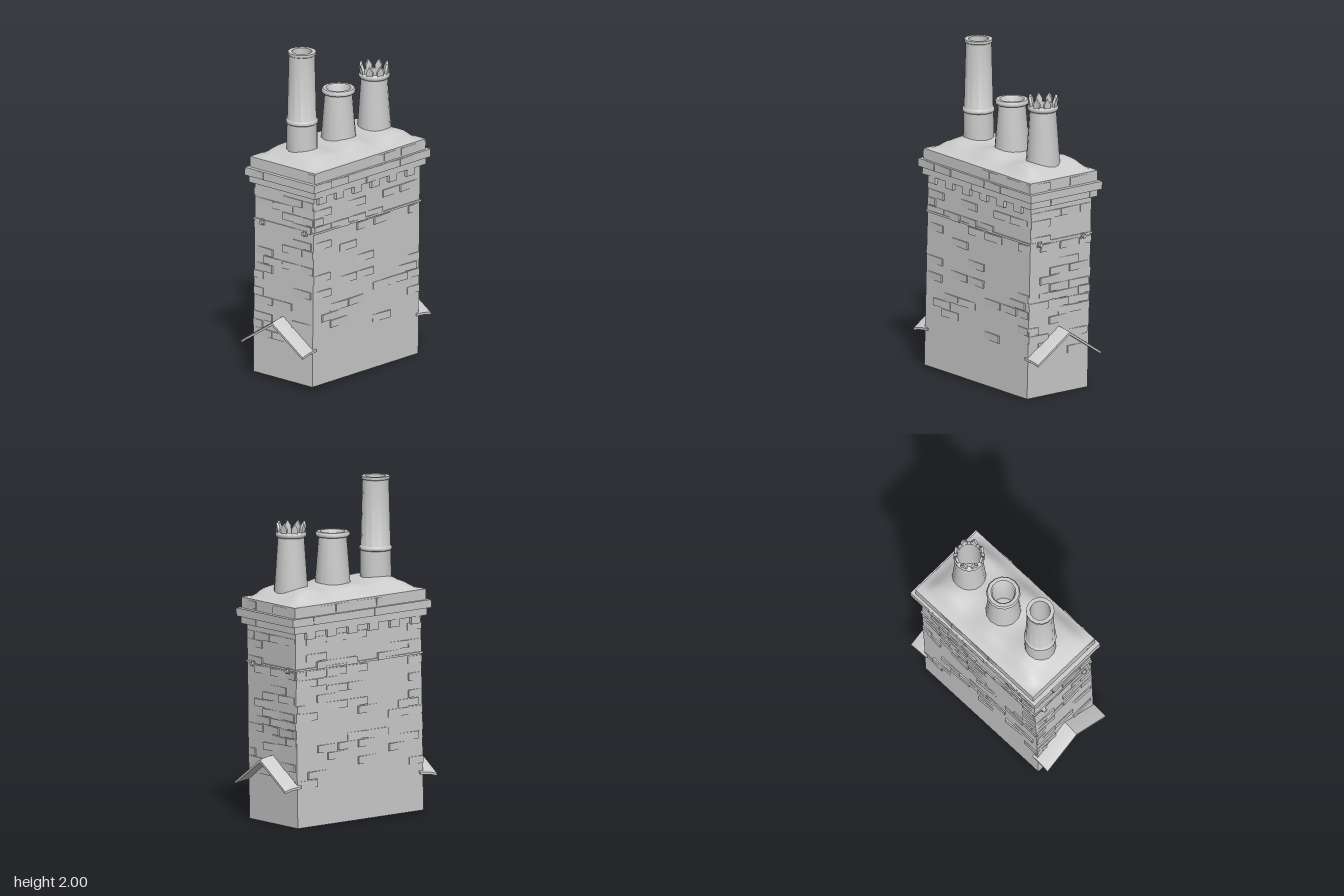
import * as THREE from 'three';
import { mergeGeometries, toCreasedNormals } from 'three/addons/utils/BufferGeometryUtils.js';

const W = 0.93, D = 0.465; // shaft width and depth

const stone = new THREE.MeshStandardMaterial({ color: 0xcccccc, side: THREE.DoubleSide });
stone.name = 'pale grey';

let seed = 7;
function rand() {
  seed = (seed * 16807) % 2147483647;
  return seed / 2147483647;
}

function add(parent, name, geometry, x = 0, y = 0, z = 0) {
  const mesh = new THREE.Mesh(geometry, stone);
  mesh.name = name;
  mesh.position.set(x, y, z);
  parent.add(mesh);
  return mesh;
}

const ease = (t) => THREE.MathUtils.smoothstep(t, 0, 1);

// Loose bricks standing proud of a wall that faces +z, then turned to its side
function wallBricks(length, distance, turn, y0, y1, density) {
  const bricks = [];
  const h = 0.05, len = 0.15;
  let row = 0;
  for (let y = y0 + h / 2; y < y1; y += h, row++) {
    for (let x = -length / 2 - (row % 2) * len / 2; x < length / 2; x += len) {
      const left = Math.max(x, -length / 2), right = Math.min(x + len, length / 2);
      // fewer bricks show low on the wall
      const chance = density * (0.5 + 0.5 * ease((y - 0.2) / 0.5));
      if (rand() > chance || right - left < 0.04) continue;
      const brick = new THREE.BoxGeometry(right - left - 0.004, h - 0.006, 0.012);
      brick.rotateY((rand() < 0.5 ? -1 : 1) * (0.02 + 0.06 * rand()));
      brick.translate((left + right) / 2, y, distance - 0.002 + 0.003 * rand());
      bricks.push(brick.rotateY(turn));
    }
  }
  return bricks;
}

// Pot turned from an outline of [radius, height] points
function pot(parent, name, outline, sides, x, z) {
  const lathe = new THREE.LatheGeometry(outline.map(([r, y]) => new THREE.Vector2(r, y)), sides);
  add(parent, name, toCreasedNormals(lathe, 0.8), x, 0, z);
}

// Mounded mortar bed, raised from its edges with soft lumps
function mortarGeometry(w, d) {
  const g = new THREE.PlaneGeometry(w, d, 36, 20).rotateX(-Math.PI / 2);
  const p = g.attributes.position;
  for (let i = 0; i < p.count; i++) {
    const x = p.getX(i), z = p.getZ(i);
    const ex = w / 2 - Math.abs(x), ez = d / 2 - Math.abs(z);
    const slope = ease(ex / 0.1) * ease(ez / 0.1);
    const crown = ease(ex / 0.2) * ease(ez / 0.24);
    const lumps = 0.008 * Math.cos(x * 20.5) + 0.005 * Math.sin(x * 13 + z * 17);
    p.setY(i, 0.05 * slope + 0.022 * crown + lumps * slope);
  }
  g.computeVertexNormals();
  return g;
}

// Gabled lead sheet that droops away from the wall along +x
function flashingGeometry() {
  const s = new THREE.Shape([[-0.242, 0.25], [0, 0.41], [0.242, 0.25],
    [0.242, 0.236], [0, 0.394], [-0.242, 0.236]].map(([x, y]) => new THREE.Vector2(x, y)));
  const g = new THREE.ExtrudeGeometry(s, { depth: 0.125, steps: 4, bevelEnabled: false });
  g.rotateY(Math.PI / 2);
  const p = g.attributes.position;
  for (let i = 0; i < p.count; i++) p.setY(i, p.getY(i) - 1.2 * p.getX(i) ** 2);
  g.computeVertexNormals();
  return g;
}

export function createModel() {
  const model = new THREE.Group();
  model.name = 'chimney';

  // Slightly leaning brick stack
  const stack = new THREE.Group();
  stack.name = 'stack';
  stack.position.set(-0.01, 0.012, 0.01);
  stack.rotation.set(-0.008, 0, -0.023);
  model.add(stack);

  // Shaft open at the bottom
  let shaft = new THREE.CylinderGeometry(Math.SQRT1_2, Math.SQRT1_2, 1.22, 4, 1, true);
  shaft = shaft.rotateY(Math.PI / 4).scale(W, 1, D).toNonIndexed();
  shaft.computeVertexNormals();
  add(stack, 'shaft', shaft, 0, 0.61, 0);

  // Corbelled courses with a few proud bricks
  const courseBricks = [];
  for (const [name, w, h, d, y] of [
    ['lowerCourse', 0.98, 0.045, 0.515, 1.185],
    ['projectingCourse', 1.022, 0.048, 0.548, 1.231],
    ['upperCourse', 0.97, 0.065, 0.515, 1.287],
  ]) {
    add(stack, name, new THREE.BoxGeometry(w, h, d), 0, y, 0);
    for (const turn of [0, 1, 2, 3]) {
      const side = turn % 2;
      courseBricks.push(...wallBricks(side ? d : w, (side ? w : d) / 2 - 0.004,
        turn * Math.PI / 2, y - 0.025, y + 0.02, 0.5));
    }
  }
  add(stack, 'courseBricks', mergeGeometries(courseBricks));

  // Worn brickwork on the four sides
  for (const turn of [0, 1, 2, 3]) {
    const side = turn % 2;
    add(stack, 'wallBricks', mergeGeometries(wallBricks(side ? D : W, (side ? W : D) / 2,
      turn * Math.PI / 2, 0.23, 1.11, side ? 0.55 : 0.42)));
  }

  // Dentil blocks below the courses, front and back
  for (const s of [-1, 1])
    for (let i = 0; i < 6; i++)
      add(stack, 'dentil', new THREE.BoxGeometry(0.065, 0.046, 0.04), -0.412 + i * 0.155, 1.142, s * D / 2);

  // Iron strap with its nuts at both ends
  add(stack, 'strap', new THREE.BoxGeometry(W + 0.012, 0.012, D + 0.016), 0, 0.94, 0);
  for (const s of [-1, 1])
    for (const z of [-0.167, 0.167]) {
      add(stack, 'strapNut', new THREE.CylinderGeometry(0.013, 0.013, 0.04, 6).rotateZ(Math.PI / 2),
        s * (W / 2 + 0.005), 0.932, z);
      add(stack, 'strapPlate', new THREE.BoxGeometry(0.012, 0.034, 0.03), s * (W / 2 + 0.005), 0.932, z);
    }

  add(stack, 'mortarBed', mortarGeometry(0.97, 0.515), 0, 1.319, 0);

  // Roof flashing at both ends
  add(model, 'flashing', flashingGeometry(), 0.436, 0, 0.005);
  add(model, 'flashing', flashingGeometry(), -0.44, 0, 0.005).rotation.y = Math.PI;

  // Tall pot with a ring
  pot(model, 'tallPot', [[0.094, 1.35], [0.09, 1.56], [0.096, 1.565], [0.096, 1.58], [0.088, 1.588],
    [0.078, 1.98], [0.084, 1.984], [0.084, 2], [0.06, 2], [0.065, 1.35]], 14, -0.282, -0.012);

  // Squat pot with a rolled rim
  pot(model, 'squatPot', [[0.109, 1.34], [0.083, 1.668], [0.095, 1.67], [0.101, 1.677], [0.101, 1.69],
    [0.094, 1.7], [0.074, 1.7], [0.066, 1.69], [0.07, 1.34]], 14, 0.03, -0.004);

  // Crowned pot with a ring of pointed teeth
  const crownX = 0.327, crownZ = 0.011;
  pot(model, 'crownedPot', [[0.103, 1.34], [0.079, 1.69], [0.088, 1.696], [0.093, 1.705], [0.091, 1.718],
    [0.083, 1.726], [0.07, 1.726], [0.074, 1.34]], 16, crownX, crownZ);
  const toothShape = new THREE.Shape([[-0.018, 0], [-0.02, 0.03], [0, 0.065], [0.02, 0.03], [0.018, 0]]
    .map(([x, y]) => new THREE.Vector2(x, y)));
  // lean the teeth outward a little before lifting them onto the rim
  const tooth = new THREE.ExtrudeGeometry(toothShape, { depth: 0.015, bevelEnabled: false });
  tooth.rotateX(0.08).translate(0, 1.717, 0.069);
  for (let i = 0; i < 8; i++)
    add(model, 'crownTooth', tooth, crownX, 0, crownZ).rotation.y = (i + 0.5) * Math.PI / 4;

  return model;
}
